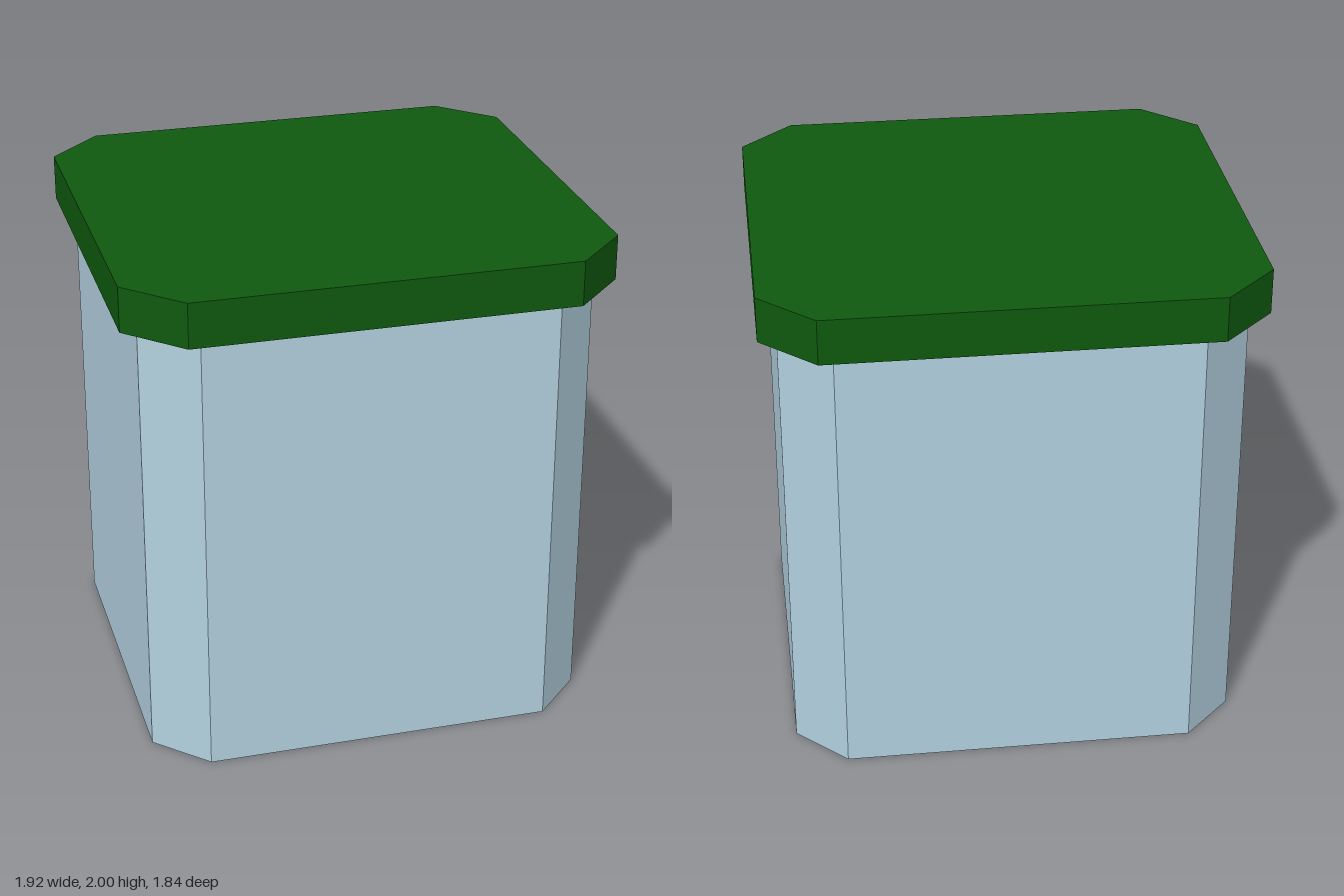
import * as THREE from 'three';

// Upright prism with a chamfered rectangular footprint
function chamferedPrism(name, halfX, halfZ, chamfer, bottom, top, material) {
  const ix = halfX - chamfer, iz = halfZ - chamfer;
  const outline = new THREE.Shape([
    [ix, -halfZ], [halfX, -iz], [halfX, iz], [ix, halfZ],
    [-ix, halfZ], [-halfX, iz], [-halfX, -iz], [-ix, -halfZ],
  ].map(([x, y]) => new THREE.Vector2(x, y)));
  const geometry = new THREE.ExtrudeGeometry(outline, { depth: top - bottom, bevelEnabled: false });
  geometry.rotateX(-Math.PI / 2).translate(0, bottom, 0);
  const mesh = new THREE.Mesh(geometry, material);
  mesh.name = name;
  return mesh;
}

export function createModel() {
  const paleBlue = new THREE.MeshStandardMaterial({ name: 'paleBlue', color: 0xb3d1e0 });
  const darkGreen = new THREE.MeshStandardMaterial({ name: 'darkGreen', color: 0x0f590f });

  const model = new THREE.Group();
  model.name = 'liddedContainer';
  // Container body and its overhanging lid
  model.add(
    chamferedPrism('body', 0.888, 0.855, 0.197, 0, 1.82, paleBlue),
    chamferedPrism('lid', 0.96, 0.92, 0.211, 1.82, 2, darkGreen),
  );
  return model;
}
